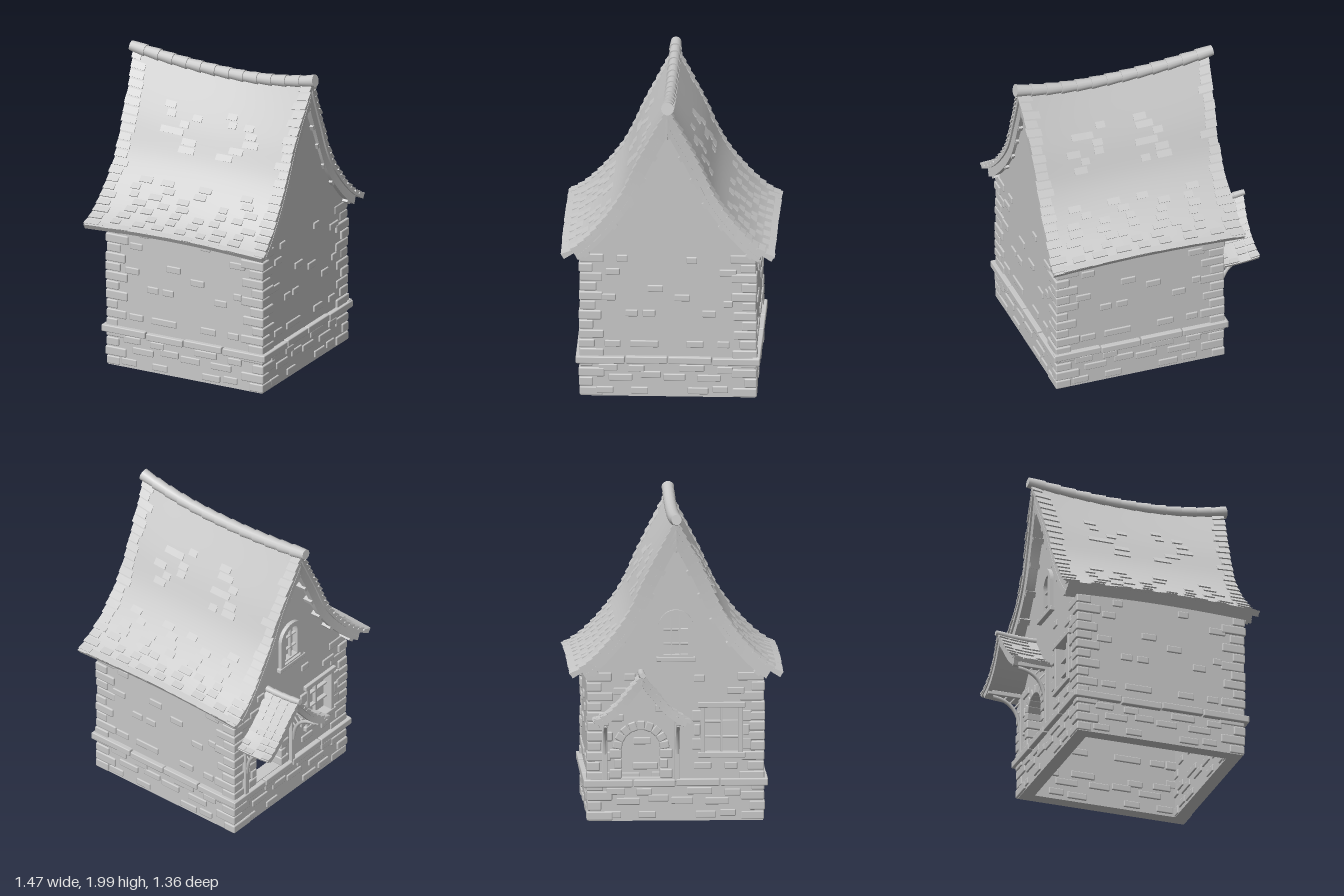
import * as THREE from 'three';
import { RoundedBoxGeometry } from 'three/addons/geometries/RoundedBoxGeometry.js';

const stone = new THREE.MeshStandardMaterial({ color: 0xc8c8c8 });
stone.name = 'grey stone';

let seed = 7;
const rand = (a = 0, b = 1) => {
  seed = (seed * 16807) % 2147483647;
  return a + (b - a) * (seed / 2147483647);
};

function add(parent, name, geometry, x = 0, y = 0, z = 0) {
  const mesh = new THREE.Mesh(geometry, stone);
  mesh.name = name;
  mesh.position.set(x, y, z);
  parent.add(mesh);
  return mesh;
}
function group(parent, name) {
  const g = new THREE.Group();
  g.name = name;
  parent.add(g);
  return g;
}
const block = (w, h, d) => new RoundedBoxGeometry(w, h, d, 1, Math.min(w, h, d) * 0.15);

// Wall faces and thickness
const X0 = -0.465, X1 = 0.65, Z = 0.552, T = 0.085, CX = (X0 + X1) / 2;

// Curved roof: a profile swept along x, mirrored about its ridge
function makeRoof(parent, name, o) {
  const roof = group(parent, name);
  const curve = new THREE.CatmullRomCurve3(o.profile.map(([y, z]) => new THREE.Vector3(0, y, z)));
  // u along the ridge, s down the slope, h above the surface
  const point = (u, s, h, side) => {
    const c = Math.min(Math.max(s, 0), 1);
    const p = curve.getPointAt(c), t = curve.getTangentAt(c);
    p.addScaledVector(t, s - c);
    const bow = o.bend * Math.sin(Math.PI * c);
    const x0 = o.x0 + bow, x1 = o.x1 - bow;
    const x = x0 + (x1 - x0) * u;
    return [x, p.y + h * t.z + o.sag(x, c), o.z + side * Math.max(0, p.z - h * t.y)];
  };
  // box bent onto the slope; lift raises its lower edge
  const slab = (part, u0, u1, s0, s1, h0, h1, side, nu, ns, lift = 0) => {
    const g = new THREE.BoxGeometry(1, 1, 1, nu, 1, ns), a = g.attributes.position;
    for (let i = 0; i < a.count; i++) {
      const v = a.getZ(i) + 0.5;
      const h = h0 + (h1 - h0) * (a.getY(i) + 0.5) + lift * v;
      a.setXYZ(i, ...point(u0 + (u1 - u0) * (a.getX(i) + 0.5), s0 + (s1 - s0) * v, h, side));
    }
    if (side < 0) {
      const ix = g.index.array;
      for (let i = 0; i < ix.length; i += 3) [ix[i], ix[i + 1]] = [ix[i + 1], ix[i]];
    }
    g.computeVertexNormals();
    add(roof, part, g);
  };
  const tile = (u, s, w, l, side) =>
    slab('tile', u - w / 2, u + w / 2, s - l / 2, s + l / 2, -0.014, -0.002, side, 1, 1, 0.011);
  // ridge caps, each widening towards +x
  const n = o.caps, a = o.x0 - o.over, b = o.x1 + o.over * 0.6;
  for (let i = 0; i < n; i++) {
    const len = (b - a) / n, x = a + len * (i + 0.5);
    const y = (q) => o.profile[0][0] + o.sag(q, 0);
    const cap = add(roof, 'ridgeCap',
      new THREE.CylinderGeometry(o.capR * 0.9, o.capR * 1.1, len * 1.06, 14), x, y(x), o.z);
    cap.rotation.z = Math.PI / 2 + Math.atan2(y(x + 0.05) - y(x - 0.05), 0.1);
  }
  return { slab, tile, curve };
}

function mainRoof(house) {
  const roof = makeRoof(house, 'mainRoof', {
    profile: [[1.885, 0], [1.56, 0.187], [1.32, 0.308], [1.143, 0.445], [1.025, 0.57], [0.962, 0.672]],
    x0: -0.572, x1: 0.712, z: 0, bend: 0.032, caps: 13, capR: 0.037, over: 0.025,
    sag: (x, s) => (1 - s) ** 2 * (x < 0.17 ? 0.1 : 0.2) * (x - 0.17) ** 2
      + s * s * 0.022 * Math.cos((x - 0.07) * 2.4) - s * s * 0.008,
  });
  for (const side of [1, -1]) {
    roof.slab('roofSlope', 0, 1, 0, 1, -0.03, 0, side, 24, 24);
    roof.slab('roofBoards', 0.01, 0.99, 0, 0.94, -0.07, -0.03, side, 24, 24);
    for (const u of [0.008, 0.962]) roof.slab('bargeboard', u, u + 0.03, 0, 0.94, -0.085, -0.055, side, 1, 24);
    // purlin ends under the verges
    for (const s of [0.12, 0.26, 0.4, 0.54, 0.68, 0.88])
      for (const u of [0.0, 0.9]) roof.slab('purlinEnd', u + 0.01, u + 0.09, s, s + 0.028, -0.1, -0.07, side, 1, 1);
    // verge tiles
    for (let i = 0; i < 21; i++) {
      const s = 0.035 + i * 0.0465;
      for (const e of [0, 1]) {
        const w = rand(0.05, 0.09), out = rand(0.001, 0.009);
        roof.tile(e ? 1 + out - w / 2 : w / 2 - out, s, w, 0.046, side);
      }
    }
    // two worn patches high on the slope
    for (const c of [0.33, 0.7])
      for (let i = 0; i < 6; i++)
        for (let k = 0; k < (i % 2 ? 2 : 1); k++)
          roof.tile(c + rand(-0.09, 0.09), 0.23 + i * 0.046, rand(0.045, 0.085), 0.045, side);
    // tiles towards the eaves
    for (let i = 0; i < 7; i++) {
      const n = 4 + Math.floor(i * 0.5);
      for (let k = 0; k < n; k++)
        roof.tile(0.1 + 0.8 * (k + rand(0.2, 0.8)) / n, 0.66 + i * 0.046, rand(0.045, 0.075), 0.045, side);
    }
    for (let k = 0; k < 20; k++) roof.tile((k + 0.5) / 20, 0.976 + rand(0, 0.005), 0.05, 0.046, side);
  }
  return roof.curve;
}

function porch(house) {
  const g = group(house, 'porch');
  const roof = makeRoof(g, 'porchRoof', {
    profile: [[0.95, 0], [0.86, 0.075], [0.76, 0.16], [0.695, 0.235], [0.655, 0.31]],
    x0: -0.722, x1: -0.46, z: -0.22, bend: 0.01, caps: 4, capR: 0.02, over: 0.01,
    sag: (x) => 0.35 * (x + 0.5) ** 2,
  });
  for (const side of [1, -1]) {
    roof.slab('porchSlope', 0, 1, 0, 1, -0.018, 0, side, 6, 12);
    roof.slab('porchBargeboard', 0.03, 0.14, 0, 0.95, -0.05, -0.018, side, 1, 12);
    for (let i = 0; i < 9; i++)
      for (let k = 0; k < 4; k++)
        if (k === 0 || rand() > 0.35)
          roof.tile((k + 0.5) / 4 - (k ? 0 : rand(0, 0.03)), 0.07 + i * 0.108, 0.235, 0.1, side);
    // curved bracket with spindles
    const z = -0.22 + side * 0.23;
    const arc = new THREE.QuadraticBezierCurve3(
      new THREE.Vector3(-0.485, 0.43, z), new THREE.Vector3(-0.5, 0.625, z), new THREE.Vector3(-0.67, 0.635, z));
    add(g, 'bracketArc', new THREE.TubeGeometry(arc, 14, 0.012, 6));
    add(g, 'bracketPost', block(0.03, 0.42, 0.035), -0.475, 0.46, z);
    add(g, 'porchBeam', block(0.25, 0.03, 0.035), -0.58, 0.66, z);
    for (const t of [0.3, 0.45, 0.6, 0.75]) {
      const p = arc.getPoint(t);
      const spindle = add(g, 'spindle', new THREE.CylinderGeometry(0.006, 0.006, 0.08, 6), p.x + 0.02, p.y + 0.028, z);
      spindle.rotation.z = -0.7;
    }
  }
}

// Upright with an arched head, drawn into a shape or hole
function arch(path, c, r, y0, y1) {
  path.moveTo(c - r, y0);
  path.lineTo(c - r, y1);
  path.absarc(c, y1, r, Math.PI, 0, true);
  path.lineTo(c + r, y0);
  path.closePath();
  return path;
}
// Shape x becomes z; depth runs towards -x
const sideways = (shape, depth) =>
  new THREE.ExtrudeGeometry(shape, { depth, bevelEnabled: false, curveSegments: 14 }).rotateY(-Math.PI / 2);

function gable(house, curve, withOpenings) {
  const s = new THREE.Shape();
  s.moveTo(-Z, 0);
  s.lineTo(Z, 0);
  // edge follows the underside of the roof
  const edge = [];
  for (let i = 1; i <= 20; i++) {
    const p = curve.getPointAt(i / 20), t = curve.getTangentAt(i / 20);
    const z = p.z + t.y * 0.035, y = p.y - t.z * 0.035;
    if (z > 0.01 && z < Z) edge.push([z, y]);
  }
  s.lineTo(Z, edge.at(-1)[1] - 0.02);
  for (const [z, y] of [...edge].reverse()) s.lineTo(z, y);
  s.lineTo(0, 1.86);
  for (const [z, y] of edge) s.lineTo(-z, y);
  s.lineTo(-Z, edge.at(-1)[1] - 0.02);
  if (withOpenings) {
    s.holes.push(arch(new THREE.Path(), 0, 0.08, 1.06, 1.24));
    s.holes.push(arch(new THREE.Path(), -0.22, 0.13, 0.27, 0.46));
    s.holes.push(new THREE.Path([[0.17, 0.43], [0.41, 0.43], [0.41, 0.73], [0.17, 0.73]].map((p) => new THREE.Vector2(...p))));
  }
  add(house, withOpenings ? 'leftGable' : 'rightGable', sideways(s, T), withOpenings ? X0 + T : X1);
}

function openings(house) {
  // arched gable window
  const top = group(house, 'gableWindow');
  const ring = arch(new THREE.Shape(), 0, 0.11, 1.03, 1.24);
  ring.holes.push(arch(new THREE.Path(), 0, 0.077, 1.06, 1.24));
  add(top, 'archFrame', sideways(ring, 0.05), X0 + 0.025);
  add(top, 'pane', sideways(arch(new THREE.Shape(), 0, 0.08, 1.06, 1.24), 0.008), X0 + 0.05);
  for (const z of [-0.027, 0.027]) add(top, 'bar', block(0.02, 0.26, 0.01), X0 + 0.02, 1.18, z);
  for (const y of [1.13, 1.22]) add(top, 'bar', block(0.02, 0.01, 0.16), X0 + 0.02, y, 0);
  add(top, 'sill', block(0.07, 0.03, 0.25), X0 + 0.005, 1.035, 0);

  // square window
  const low = group(house, 'squareWindow'), wy = 0.58;
  add(low, 'pane', new THREE.BoxGeometry(0.008, 0.3, 0.24), X0 + 0.05, wy, 0.29);
  for (const k of [-1, 1]) {
    add(low, 'frameSide', block(T + 0.035, 0.32, 0.03), X0 + T / 2, wy, 0.29 + k * 0.12);
    add(low, 'frameRail', block(T + 0.045, 0.035, 0.3), X0 + T / 2, wy + k * 0.16, 0.29);
    for (let i = 0; i < 3; i++)
      add(low, 'jambStone', block(0.04, 0.07, i % 2 ? 0.04 : 0.065), X0 + 0.006, wy - 0.09 + i * 0.09, 0.29 + k * 0.155);
  }
  add(low, 'bar', block(0.03, 0.3, 0.014), X0 + 0.035, wy, 0.29);
  for (const y of [wy - 0.05, wy + 0.05]) add(low, 'bar', block(0.03, 0.014, 0.24), X0 + 0.035, y, 0.29);

  // stones round the open arch below the porch
  const door = group(house, 'archSurround');
  for (const k of [-1, 1])
    for (let i = 0; i < 3; i++) {
      const w = i % 2 ? 0.05 : 0.08;
      add(door, 'jambStone', block(T + 0.03, 0.06, w), X0 + T / 2, 0.302 + i * 0.064, -0.22 + k * (0.12 + w / 2));
    }
  for (let i = 0; i < 9; i++) {
    const a = (Math.PI * (i + 0.5)) / 9;
    const v = add(door, 'archStone', block(T + 0.03, 0.06, 0.05), X0 + T / 2, 0.46 + 0.15 * Math.sin(a), -0.22 + 0.15 * Math.cos(a));
    v.rotation.x = Math.PI / 2 - a;
  }
}

// Loose stones shared by all walls: offset along the wall, height, width
const bricks = [[-0.35, 0.83, 0.09], [-0.29, 0.92, 0.07], [0.15, 0.91, 0.07], [0.38, 0.83, 0.11],
  [-0.38, 0.66, 0.1], [-0.23, 0.555, 0.08], [-0.12, 0.555, 0.08], [-0.08, 0.72, 0.1], [0.09, 0.66, 0.1],
  [0.26, 0.555, 0.09], [0.38, 0.62, 0.06], [-0.35, 0.35, 0.1], [-0.15, 0.35, 0.18], [0.17, 0.35, 0.11],
  [0.35, 0.35, 0.08], [-0.38, 0.19, 0.12], [-0.2, 0.185, 0.1], [0.15, 0.19, 0.16], [0.36, 0.18, 0.1],
  [-0.3, 0.125, 0.15], [-0.11, 0.145, 0.13], [0.04, 0.13, 0.14], [0.26, 0.125, 0.15],
  [-0.4, 0.04, 0.11], [-0.18, 0.04, 0.11], [0.19, 0.04, 0.13], [0.33, 0.05, 0.1]];

function masonry(house) {
  for (let w = 0; w < 4; w++) {
    const wall = group(house, ['frontStones', 'rightStones', 'backStones', 'leftStones'][w]);
    wall.position.x = CX;
    wall.rotation.y = (w * Math.PI) / 2;
    const d = w % 2 ? (X1 - X0) / 2 : Z;
    const blocked = (x, y) => w === 3 && ((Math.abs(x + 0.22) < 0.25 && y > 0.22 && y < 0.64)
      || (Math.abs(x - 0.29) < 0.22 && y > 0.38 && y < 0.78));
    for (const [x, y, len] of bricks)
      if (!blocked(x, y)) add(wall, 'brick', block(len, 0.045, T + 0.02), x, y, d - T / 2);
    // projecting course in uneven lengths
    const cuts = [-0.585, -0.27, 0.0, 0.28, 0.585];
    for (let i = 0; i < 4; i++)
      add(wall, 'stringCourse', block(cuts[i + 1] - cuts[i] - 0.006, 0.046, 0.05),
        (cuts[i] + cuts[i + 1]) / 2, 0.245 + rand(-0.004, 0.004), d + 0.007);
  }
  // corner stones
  const quoins = group(house, 'cornerStones');
  for (const sx of [-1, 1]) for (const sz of [-1, 1])
    for (let i = 0; i < 15; i++) {
      const lx = (i % 2 ? 0.14 : 0.08) + rand(0, 0.03), lz = (i % 2 ? 0.08 : 0.14) + rand(0, 0.03), o = rand(0.005, 0.014);
      add(quoins, 'quoin', block(lx, rand(0.054, 0.062), lz),
        CX + sx * ((X1 - X0) / 2 + o - lx / 2), 0.032 + i * 0.0635, sz * (Z + o - lz / 2));
    }
}

export function createModel() {
  const house = new THREE.Group();
  house.name = 'stoneCottage';
  const curve = mainRoof(house);
  for (const side of [1, -1])
    add(house, side > 0 ? 'frontWall' : 'backWall', new THREE.BoxGeometry(X1 - X0, 0.98, T), CX, 0.49, side * (Z - T / 2));
  gable(house, curve, false);
  gable(house, curve, true);
  openings(house);
  masonry(house);
  porch(house);
  return house;
}
